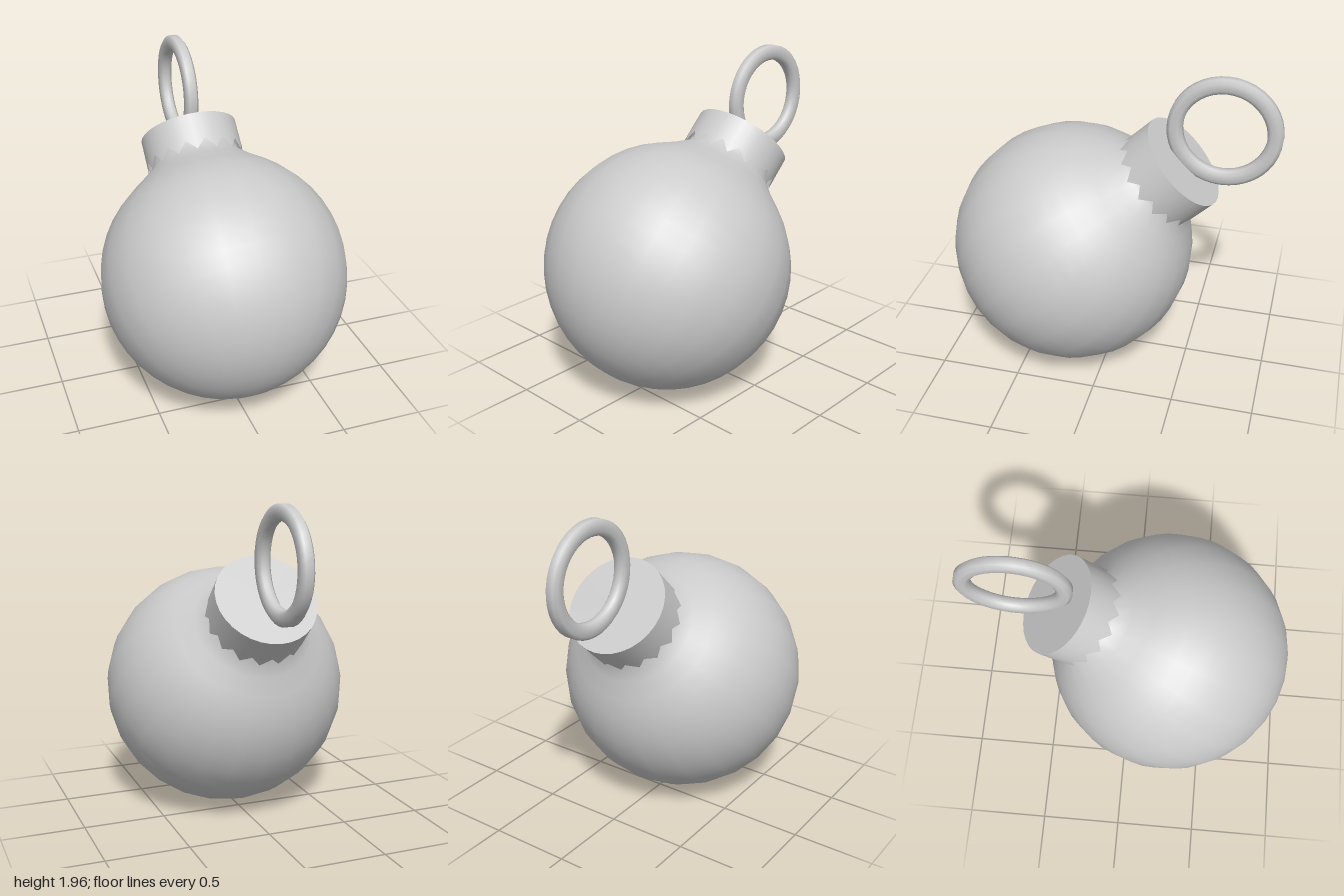
import * as THREE from 'three';

const material = new THREE.MeshStandardMaterial({ color: 0xcccccc, side: THREE.DoubleSide });

function part(name, geometry) {
  const mesh = new THREE.Mesh(geometry, material);
  mesh.name = name;
  return mesh;
}

// Round bauble that flares gently into a narrow neck
function baubleGeometry() {
  const r = 0.75, profile = [];
  const steps = 18, end = THREE.MathUtils.degToRad(143);
  for (let i = 0; i <= steps; i++) {
    const a = (i / steps) * end;
    profile.push(new THREE.Vector2(r * Math.sin(a), -r * Math.cos(a)));
  }
  for (const [x, y] of [[0.36, 0.67], [0.285, 0.74], [0.27, 0.8], [0.27, 0.93]]) {
    profile.push(new THREE.Vector2(x, y));
  }
  return new THREE.LatheGeometry(profile, 24);
}

// Cap wall whose lower rim zigzags into sixteen teeth
function capWallGeometry(radius, top, valley, tip) {
  const sides = 32;
  const geometry = new THREE.CylinderGeometry(radius, radius, top - valley, sides, 1, true);
  geometry.translate(0, (top + valley) / 2, 0);
  const pos = geometry.attributes.position;
  for (let i = 0; i <= sides; i++) {
    if (i % 2) pos.setY(sides + 1 + i, tip);
  }
  return geometry;
}

// Hanging ring with a bevelled cross-section, turned to face sideways
function ringGeometry(radius) {
  const section = [[-0.045, 0], [-0.045, -0.022], [-0.022, -0.04], [0.022, -0.04], [0.045, -0.022],
    [0.045, 0.022], [0.022, 0.04], [-0.022, 0.04], [-0.045, 0.022], [-0.045, 0]];
  const points = section.map(([x, y]) => new THREE.Vector2(radius + x, y));
  return new THREE.LatheGeometry(points, 40).rotateZ(Math.PI / 2);
}

export function createModel() {
  const model = new THREE.Group();
  model.name = 'ornament';

  // Everything shares one axis, tipped up and back from the bauble's centre
  const tilted = new THREE.Group();
  tilted.name = 'tiltedOrnament';
  tilted.position.set(0, 0.75, 0.25);
  tilted.rotation.x = THREE.MathUtils.degToRad(-46);
  model.add(tilted);

  tilted.add(part('bauble', baubleGeometry()));

  const cap = new THREE.Group();
  cap.name = 'cap';
  cap.add(part('capWall', capWallGeometry(0.305, 0.95, 0.785, 0.72)));
  const lid = part('capLid', new THREE.CircleGeometry(0.305, 32).rotateX(-Math.PI / 2));
  lid.position.y = 0.95;
  cap.add(lid);
  tilted.add(cap);

  const ring = part('hangingRing', ringGeometry(0.29));
  ring.position.y = 1.265;
  tilted.add(ring);

  return model;
}
